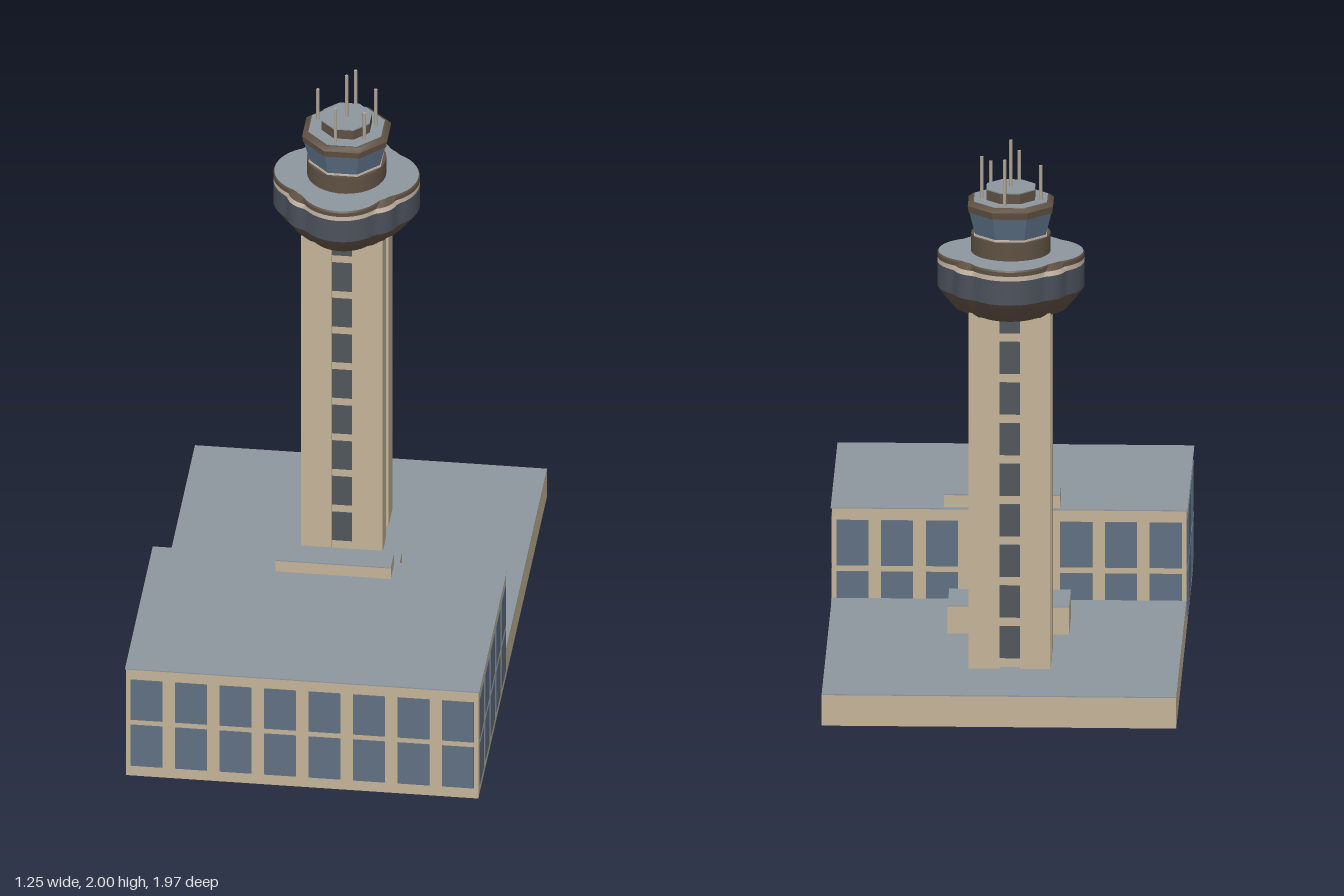
import * as THREE from 'three';
import { toCreasedNormals } from 'three/addons/utils/BufferGeometryUtils.js';

const mat = (name, color, side = THREE.FrontSide) => {
  const m = new THREE.MeshStandardMaterial({ color, side });
  m.name = name;
  return m;
};

export function createModel() {
  const tan = mat('tan concrete', 0xc4b497, THREE.DoubleSide);
  const slate = mat('slate roof', 0x8d979e, THREE.DoubleSide);
  const glass = mat('office glass', 0x5f6f82);
  const shaftGlass = mat('shaft glass', 0x50565c);
  const bandGlass = mat('dark band glass', 0x4b515c);
  const cabGlass = mat('cab glass', 0x5a6f84);
  const brown = mat('brown cladding', 0x5f5143);
  const stripeMat = mat('pale stripe', 0xc8b8a8);
  const mastMat = mat('mast grey', 0xb0a595);

  const model = new THREE.Group();
  model.name = 'controlTower';

  const add = (parent, name, geo, material, x = 0, y = 0, z = 0) => {
    const m = new THREE.Mesh(geo, material);
    m.name = name;
    m.position.set(x, y, z);
    parent.add(m);
    return m;
  };
  const box = (parent, name, material, w, h, d, x, y, z) =>
    add(parent, name, new THREE.BoxGeometry(w, h, d), material, x, y, z);

  // Hollow block, open underneath: four thin walls and a roof sheet
  function block(name, x0, x1, y0, y1, z0, z1, lip = 0) {
    const g = new THREE.Group();
    g.name = name;
    const w = x1 - x0, d = z1 - z0, h = y1 - y0 - 0.004;
    const cx = (x0 + x1) / 2, cz = (z0 + z1) / 2, cy = y0 + h / 2;
    for (let i = 0; i < 4; i++) {
      const a = i * Math.PI / 2, odd = i % 2;
      const r = (odd ? w : d) / 2;
      const wall = add(g, 'wall', new THREE.PlaneGeometry(odd ? d : w, h), tan,
        cx + Math.sin(a) * r, cy, cz + Math.cos(a) * r);
      wall.rotation.y = a;
    }
    box(g, 'roof', slate, w + lip * 2, 0.004, d + lip * 2, cx, y1 - 0.002, cz);
    model.add(g);
    return g;
  }

  // Buildings and rooftop units
  block('lowBase', -0.622, 0.617, 0, 0.115, -0.98, 0.195);
  const office = block('office', -0.622, 0.617, 0, 0.445, 0.197, 0.982, 0.004);
  block('baseRoofUnit', -0.225, 0.2, 0.115, 0.217, -0.228, -0.024);
  block('officeRoofUnit', -0.18, 0.225, 0.445, 0.492, 0.209, 0.3);

  // Office windows: two rows on all four sides
  const rows = [[0.042, 0.212], [0.233, 0.399]];
  for (const [y0, y1] of rows) {
    const h = y1 - y0, y = (y0 + y1) / 2;
    for (let i = 0; i < 8; i++)
      for (const z of [0.197, 0.982])
        box(office, 'window', glass, 0.112, h, 0.006, -0.0025 + (i - 3.5) * 0.1564, y, z);
    for (let i = 0; i < 5; i++)
      for (const x of [-0.622, 0.617])
        box(office, 'sideWindow', glass, 0.006, h, 0.113, x, y, 0.591 + (i - 2) * 0.1564);
  }

  // Tower, centred on its own axis
  const tower = new THREE.Group();
  tower.name = 'tower';
  tower.position.set(-0.03, 0, -0.508);
  model.add(tower);

  // Shaft: four corner piers around a slightly recessed core
  const bottom = 0.113, top = 1.41, shaftH = top - bottom, shaftY = (top + bottom) / 2;
  for (const sx of [-1, 1])
    for (const sz of [-1, 1])
      box(tower, 'pier', tan, 0.107, shaftH, 0.107, sx * 0.0895, shaftY, sz * 0.0895);
  box(tower, 'core', tan, 0.246, shaftH, 0.0715, 0, shaftY, 0);
  box(tower, 'core', tan, 0.0715, shaftH, 0.246, 0, shaftY, 0);
  for (let side = 0; side < 4; side++) {
    const face = new THREE.Group();
    face.name = 'windowStrip';
    face.rotation.y = side * Math.PI / 2;
    for (let k = 0; k < 9; k++) {
      const y0 = 0.148 + k * 0.148, y1 = Math.min(y0 + 0.117, 1.405);
      box(face, 'shaftWindow', shaftGlass, 0.071, y1 - y0, 0.006, 0, (y0 + y1) / 2, 0.124);
    }
    tower.add(face);
  }

  // Four-lobed outline with small bulges on the diagonals
  const N = 96;
  const ray = (c, r, phi) => {
    const q = r * r - (c * Math.sin(phi)) ** 2;
    return q > 0 ? c * Math.cos(phi) + Math.sqrt(q) : 0;
  };
  const outline = (t, scale, bulge) => {
    const quarter = Math.PI / 2;
    const phi = t - Math.round(t / quarter) * quarter;
    return scale * Math.max(ray(0.105, 0.152, phi), ray(0.15, bulge, Math.abs(phi) - quarter / 2));
  };
  // Rows are [y, scale, bulge radius], lowest first
  function lobed(name, material, levels) {
    const pos = [], index = [];
    levels.forEach(([y, s, b]) => {
      for (let i = 0; i <= N; i++) {
        const t = i / N * Math.PI * 2, r = outline(t, s, b);
        pos.push(r * Math.sin(t), y, r * Math.cos(t));
      }
    });
    for (let j = 0; j < levels.length - 1; j++)
      for (let i = 0; i < N; i++) {
        const a = j * (N + 1) + i, c = a + N + 1;
        index.push(a, a + 1, c + 1, a, c + 1, c);
      }
    const g = new THREE.BufferGeometry();
    g.setAttribute('position', new THREE.Float32BufferAttribute(pos, 3));
    g.setIndex(index);
    return add(tower, name, toCreasedNormals(g, 0.45), material);
  }
  lobed('headUnderside', brown, [[1.395, 0, 0.09], [1.395, 0.76, 0.09], [1.43, 0.88, 0.09], [1.472, 1, 0.09]]);
  lobed('headGlassBand', bandGlass, [[1.472, 1, 0.09], [1.56, 1, 0.09]]);
  lobed('headStripe', stripeMat, [[1.56, 1, 0.09], [1.577, 1, 0.085]]);
  lobed('headRim', brown, [[1.577, 1, 0.085], [1.592, 1, 0.075], [1.598, 0.985, 0.07]]);
  lobed('headRoof', slate, [[1.598, 0.985, 0.07], [1.598, 0, 0.07]]);

  // Neck and octagonal control cab
  const drum = (name, material, rTop, rBottom, y0, y1, sides = 8) => {
    const k = sides === 8 ? 1 / Math.cos(Math.PI / 8) : 1;
    const g = new THREE.CylinderGeometry(rTop * k, rBottom * k, y1 - y0, sides);
    g.rotateY(Math.PI / sides);
    return add(tower, name, toCreasedNormals(g, 0.5), material, 0, (y0 + y1) / 2, 0);
  };
  drum('neck', brown, 0.139, 0.139, 1.597, 1.664, 32);
  drum('cabSill', stripeMat, 0.127, 0.127, 1.664, 1.671);
  drum('cabWindows', cabGlass, 0.143, 0.124, 1.671, 1.752);
  drum('cabFascia', brown, 0.149, 0.146, 1.752, 1.776);
  drum('cabRoofEdge', brown, 0.133, 0.149, 1.776, 1.789);
  drum('cabRoof', slate, 0.128, 0.128, 1.787, 1.791);
  drum('roofHatch', brown, 0.085, 0.085, 1.79, 1.827);
  drum('roofHatchTop', slate, 0.085, 0.085, 1.827, 1.831);

  // Antenna masts: x, z, top
  const masts = [
    [-0.105, -0.029, 1.917], [-0.026, 0.108, 1.93], [0, 0, 2],
    [0.019, -0.103, 1.957], [0.072, 0.077, 1.9], [0.101, -0.013, 1.943],
  ];
  for (const [x, z, y1] of masts)
    add(tower, 'antennaMast', new THREE.CylinderGeometry(0.006, 0.006, y1 - 1.785, 8), mastMat,
      x, (y1 + 1.785) / 2, z);

  return model;
}
